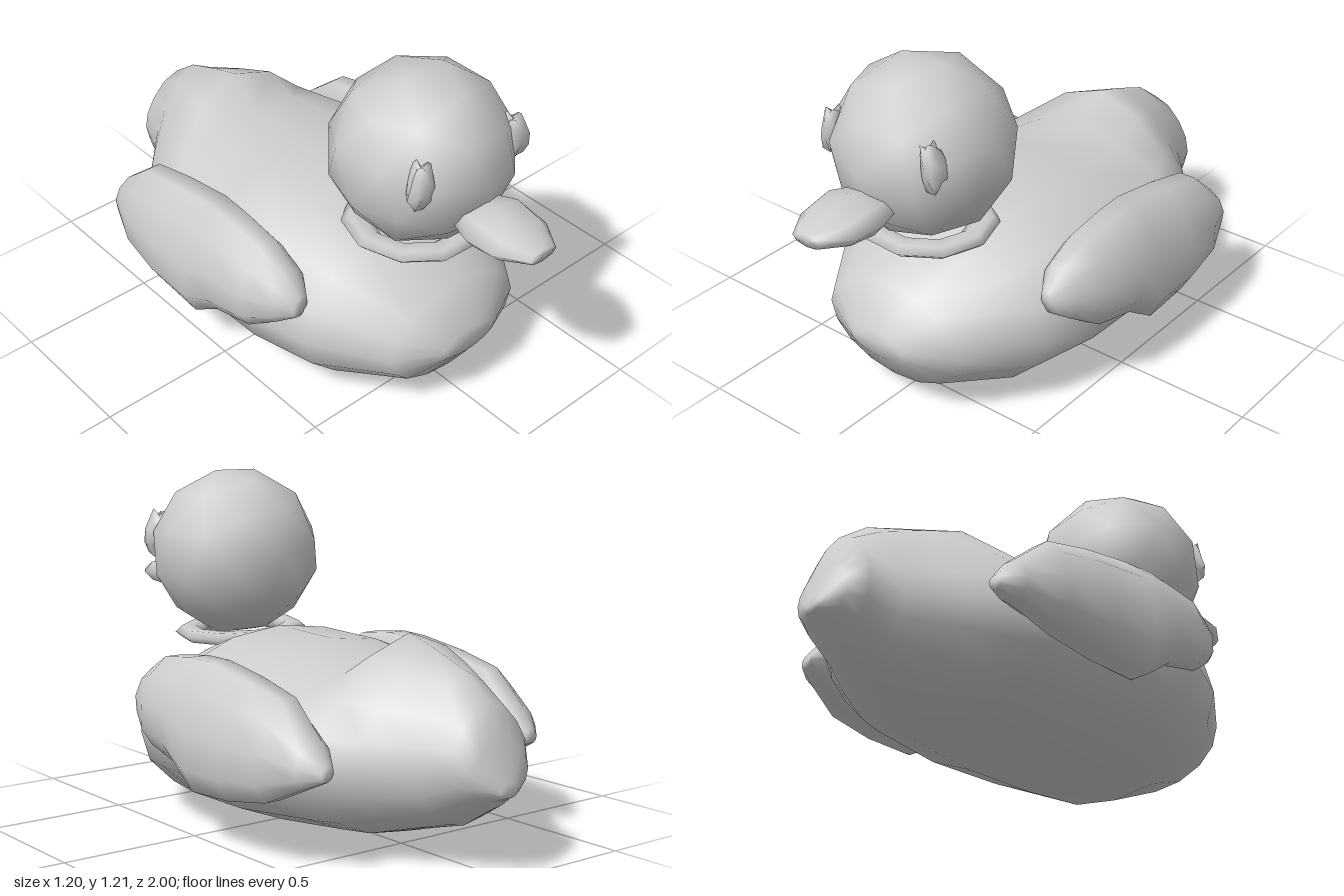
import * as THREE from 'three';

// Smooth low-poly loft of oval sections from front to back.
// Each row: [z, bottomY, topY, halfWidth, centreX, lean, lift of the top middle]
function loft(rows, sides) {
  const pos = [], index = [];
  for (const [z, y0, y1, w, cx = 0, lean = 0, lift = 0] of rows) {
    for (let j = 0; j < sides; j++) {
      const a = (j / sides) * Math.PI * 2, s = Math.sin(a);
      const y = (y0 + y1) / 2 + s * (y1 - y0) / 2 + lift * Math.max(0, s) ** 4;
      pos.push(cx + Math.cos(a) * w + lean * s, y, z);
    }
  }
  const last = (rows.length - 1) * sides;
  const front = pos.length / 3, back = front + 1;
  for (const [z, y0, y1, , cx = 0] of [rows[0], rows[rows.length - 1]]) pos.push(cx, (y0 + y1) / 2, z);
  for (let j = 0; j < sides; j++) {
    const k = (j + 1) % sides;
    for (let i = 0; i < last; i += sides) {
      index.push(i + j, i + sides + j, i + k, i + k, i + sides + j, i + sides + k);
    }
    index.push(front, j, k, back, last + k, last + j);
  }
  const g = new THREE.BufferGeometry();
  g.setAttribute('position', new THREE.Float32BufferAttribute(pos, 3));
  g.setIndex(index);
  g.computeVertexNormals();
  return g;
}

export function createModel() {
  const grey = new THREE.MeshStandardMaterial({ color: 0xcccccc });
  grey.name = 'plain grey';
  const duck = new THREE.Group();
  duck.name = 'duck';
  const add = (name, geometry) => {
    const mesh = new THREE.Mesh(geometry, grey);
    mesh.name = name;
    duck.add(mesh);
    return mesh;
  };

  // Broad body running into a raised, rounded tail
  add('body', loft([
    [0.72, 0.21, 0.30, 0.12],
    [0.64, 0.09, 0.45, 0.29],
    [0.40, 0.00, 0.58, 0.46],
    [0.18, 0.00, 0.66, 0.54],
    [-0.12, 0.01, 0.65, 0.55],
    [-0.42, 0.04, 0.61, 0.48],
    [-0.53, 0.05, 0.58, 0.42, 0, 0, 0.14],
    [-0.66, 0.09, 0.55, 0.33, 0, 0, 0.13],
    [-0.80, 0.13, 0.53, 0.20, 0, 0, 0.10],
    [-0.91, 0.20, 0.51, 0.165, 0, 0, 0.04],
    [-0.96, 0.24, 0.42, 0.12],
    [-1.00, 0.26, 0.31, 0.04],
  ], 16));

  // Head and flattened, slightly tilted neck ring
  const head = add('head', new THREE.IcosahedronGeometry(0.314, 1));
  head.position.set(0, 0.91, 0.455);
  head.rotation.z = 0.28;
  const collar = new THREE.TorusGeometry(0.195, 0.05, 6, 10);
  collar.rotateX(Math.PI / 2).scale(1, 0.5, 1);
  const collarMesh = add('collar', collar);
  collarMesh.position.set(-0.01, 0.615, 0.44);
  collarMesh.rotation.z = -0.05;

  // Blunt beak
  add('beak', loft([
    [1.00, 0.775, 0.82, 0.06],
    [0.90, 0.75, 0.85, 0.125],
    [0.80, 0.74, 0.87, 0.135],
    [0.68, 0.76, 0.84, 0.09],
  ], 8));

  for (const [side, label] of [[1, 'left'], [-1, 'right']]) {
    // Plump wings lean inward at the top
    add(label + 'Wing', loft([
      [0.37, 0.39, 0.47, 0.03, 0.45],
      [0.31, 0.35, 0.54, 0.075, 0.46],
      [0.20, 0.28, 0.60, 0.105, 0.475],
      [0.04, 0.25, 0.62, 0.118, 0.48],
      [-0.08, 0.17, 0.62, 0.118, 0.48],
      [-0.28, 0.18, 0.59, 0.118, 0.48],
      [-0.46, 0.21, 0.55, 0.10, 0.475],
      [-0.60, 0.28, 0.43, 0.07, 0.455],
      [-0.66, 0.31, 0.36, 0.025, 0.445],
    ].map(([z, y0, y1, w, cx]) => [z, y0, y1, w, cx * side, -side * 0.2 * (y1 - y0) / 2]), 10));

    // Small crumpled eyes
    const eye = new THREE.SphereGeometry(1, 8, 6);
    const p = eye.attributes.position;
    for (let i = 0; i < p.count; i++) {
      const x = p.getX(i), y = p.getY(i), z = p.getZ(i);
      const r = 1 + 0.25 * Math.sin(7 * x + 11 * y + 5 * z);
      p.setXYZ(i, x * r * 0.04, y * r * 0.078, z * r * 0.045);
    }
    eye.computeVertexNormals();
    const eyeMesh = add(label + 'Eye', eye);
    eyeMesh.position.set(side * 0.212, 0.98, 0.66);
    eyeMesh.rotation.z = side * 0.15;
  }
  return duck;
}
